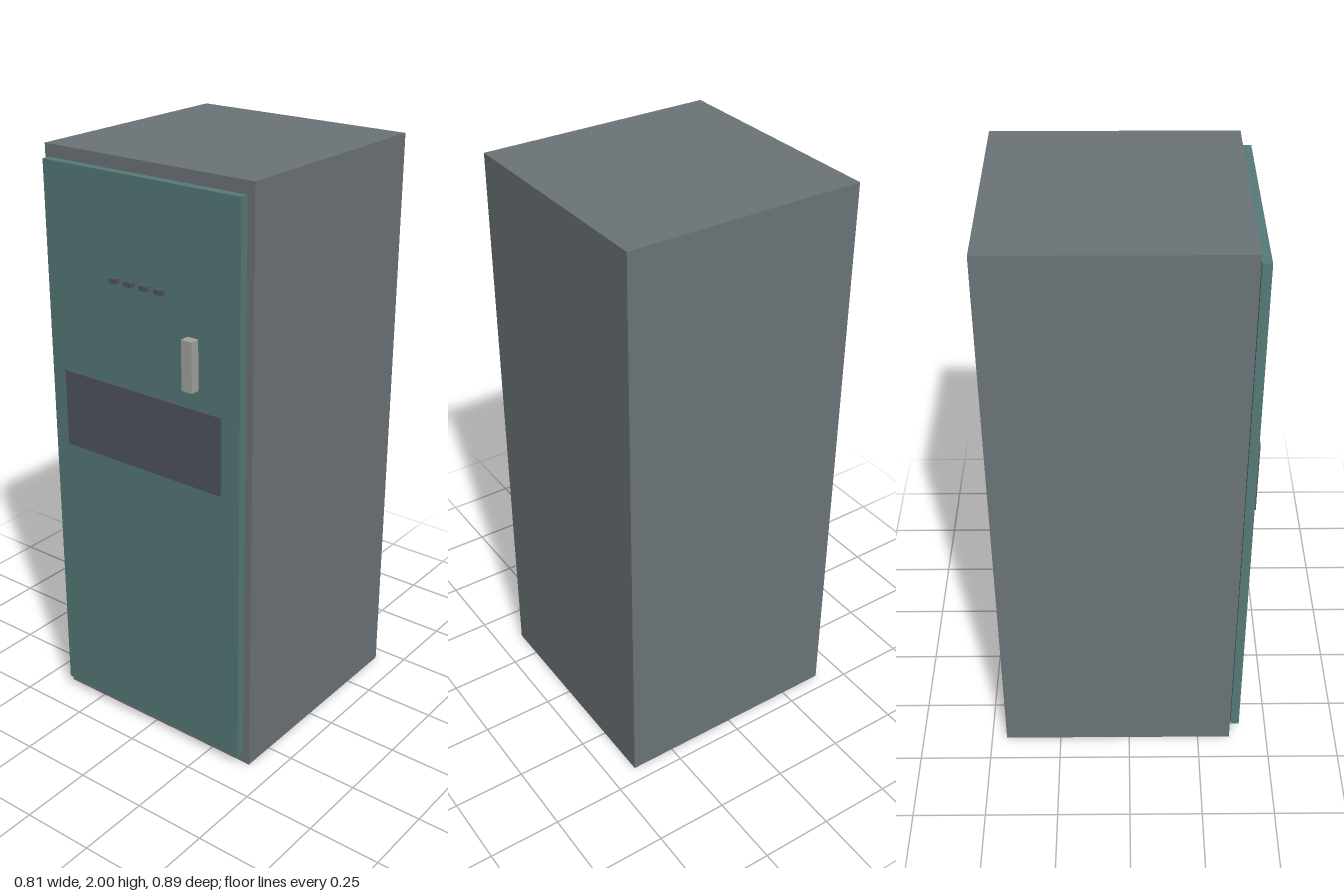
import * as THREE from 'three';

const paint = (color) => new THREE.MeshStandardMaterial({ color });

// Box given by its lower and upper limits on each axis
function slab(name, [x0, x1], [y0, y1], [z0, z1], material) {
  const mesh = new THREE.Mesh(new THREE.BoxGeometry(x1 - x0, y1 - y0, z1 - z0), material);
  mesh.position.set((x0 + x1) / 2, (y0 + y1) / 2, (z0 + z1) / 2);
  mesh.name = name;
  return mesh;
}

export function createModel() {
  const model = new THREE.Group();
  model.name = 'cabinet';

  const grey = paint(0x6c7478);
  const teal = paint(0x567a78);
  const dark = paint(0x51565e);
  const metal = paint(0xa5a59f);

  // Carcass standing on a flush plinth
  const width = [-0.407, 0.407];
  const depth = [-0.447, 0.365];
  model.add(slab('plinth', width, [0, 0.12], depth, grey));
  model.add(slab('body', width, [0.12, 2], depth, grey));

  // Door with a thin shadow gap behind it
  model.add(slab('door', [-0.385, 0.385], [0.045, 1.96], [0.37, 0.4], teal));

  // Dark panel on the door
  model.add(slab('frontPanel', [-0.32, 0.32], [1.01, 1.275], [0.405, 0.412], dark));

  // Upright handle
  model.add(slab('handle', [0.2, 0.24], [1.345, 1.51], [0.415, 0.447], metal));

  // Row of four small vents
  const vents = new THREE.Group();
  vents.name = 'vents';
  for (let i = 0; i < 4; i++) {
    const x = -0.11 + i * 0.06;
    vents.add(slab('vent', [x, x + 0.03], [1.616, 1.632], [0.4, 0.417], dark));
  }
  model.add(vents);

  return model;
}
